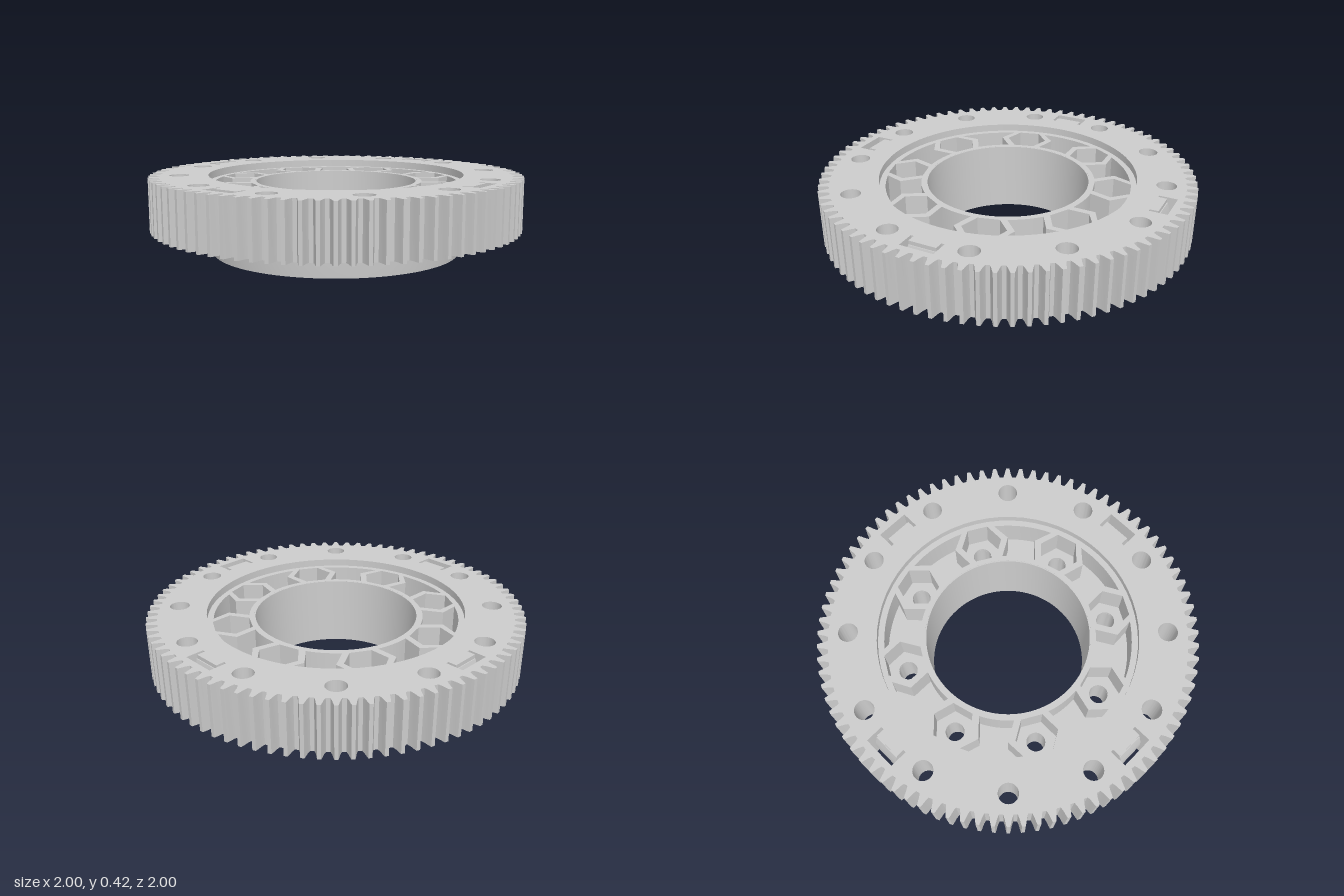
import * as THREE from 'three';
import { toCreasedNormals } from 'three/addons/utils/BufferGeometryUtils.js';

const TEETH = 84, BOLT_R = 0.05, BOLT_CIRCLE = 0.56;
const material = new THREE.MeshStandardMaterial({ color: 0xcccccc });

const polar = (r, a) => new THREE.Vector2(r * Math.cos(a), r * Math.sin(a));

function addMesh(parent, name, geometry, crease = 0.45) {
  const mesh = new THREE.Mesh(toCreasedNormals(geometry, crease), material);
  mesh.name = name;
  parent.add(mesh);
  return mesh;
}

function circlePath(x, y, r) {
  return new THREE.Path().absarc(x, y, r, 0, Math.PI * 2, true);
}

function annulus(outer, inner) {
  const shape = new THREE.Shape().absarc(0, 0, outer, 0, Math.PI * 2, false);
  shape.holes.push(circlePath(0, 0, inner));
  return shape;
}

// Extrude a plan-view shape upwards from y0 to y1
function plate(shape, y0, y1, curveSegments = 32) {
  return new THREE.ExtrudeGeometry(shape, { depth: y1 - y0, bevelEnabled: false, curveSegments })
    .rotateX(-Math.PI / 2).translate(0, y0, 0);
}

// Revolve a closed counter-clockwise [radius, y] profile
function revolve(profile, segments = 96) {
  const points = [...profile, profile[0]].map(([r, y]) => new THREE.Vector2(r, y));
  return new THREE.LatheGeometry(points, segments);
}

// Toothed outline, tooth centred on angle 0
function gearShape() {
  const pitch = (Math.PI * 2) / TEETH;
  const tooth = [[-0.36, 0.942], [-0.25, 0.962], [-0.18, 0.985], [-0.12, 1], [0.12, 1], [0.18, 0.985], [0.25, 0.962], [0.36, 0.942]];
  const points = [];
  for (let i = 0; i < TEETH; i++) {
    for (const [a, r] of tooth) points.push(polar(r, (i + a) * pitch));
  }
  return new THREE.Shape(points);
}

// U-shaped clip slot at angle a
function slotPath(a) {
  const outline = [[0.905, -0.09], [0.905, 0.09], [0.81, 0.09], [0.81, 0.074],
    [0.855, 0.074], [0.855, -0.074], [0.81, -0.074], [0.81, -0.09]];
  return new THREE.Path(outline.map(([u, v]) =>
    new THREE.Vector2(u, v).rotateAround(new THREE.Vector2(), a)));
}

// Hexagonal nut pocket with corners in the tangential direction
function hexPath(a) {
  const c = polar(BOLT_CIRCLE, a), points = [];
  for (let i = 0; i < 6; i++) points.push(polar(0.112, a + Math.PI / 2 + i * Math.PI / 3).add(c));
  return new THREE.Path(points);
}

// Curved pocket between two neighbouring nut pockets
function arcPocketPath(a) {
  const step = Math.PI / 4, points = [];
  const arc = (r, from, to) => {
    for (let i = 0; i <= 8; i++) points.push(polar(r, a + from + (to - from) * i / 8));
  };
  arc(0.655, 0.145, step - 0.145);
  points.push(polar(0.58, a + step - 0.262));
  arc(0.466, step - 0.198, 0.198);
  points.push(polar(0.58, a + 0.262));
  return new THREE.Path(points);
}

export function createModel() {
  const model = new THREE.Group();
  model.name = 'ringGear';
  const slotAngles = [0, 1, 2, 3].map(i => Math.PI * (75 / 180 + i / 2));
  const boltAngles = Array.from({ length: 8 }, (_, i) => i * Math.PI / 4);

  // Toothed ring with mounting holes and clip slots
  const ring = gearShape();
  ring.holes.push(circlePath(0, 0, 0.688));
  for (let i = 0; i < 12; i++) {
    const c = polar(0.84, i * Math.PI / 6);
    ring.holes.push(circlePath(c.x, c.y, 0.052));
  }
  for (const a of slotAngles) ring.holes.push(slotPath(a));
  addMesh(model, 'toothedRing', plate(ring, 0.14, 0.42));

  // Bulged spring clips inside the slots
  const clip = new THREE.Shape([[0.85, 0.141], [0.868, 0.141], [0.878, 0.2], [0.886, 0.28], [0.878, 0.34], [0.86, 0.4], [0.85, 0.4]]
    .map(p => new THREE.Vector2(...p)));
  const clipGeometry = new THREE.ExtrudeGeometry(clip, { depth: 0.148, bevelEnabled: false }).translate(0, 0, -0.074);
  for (const a of slotAngles) addMesh(model, 'springClip', clipGeometry).rotation.y = a;

  // Hub: pocketed upper layer on a thin web
  const pockets = annulus(0.692, 0.44), web = annulus(0.684, 0.44);
  for (const a of boltAngles) {
    const c = polar(BOLT_CIRCLE, a);
    pockets.holes.push(hexPath(a), arcPocketPath(a));
    web.holes.push(circlePath(c.x, c.y, BOLT_R));
  }
  addMesh(model, 'hubPockets', plate(pockets, 0.22, 0.38, 48));
  addMesh(model, 'hubWeb', plate(web, 0.2, 0.22, 48));

  // Tapered hub walls below the web
  addMesh(model, 'hubOuterWall', revolve([[0.655, 0], [0.672, 0], [0.685, 0.15], [0.685, 0.21], [0.65, 0.21]]));
  addMesh(model, 'boreSleeve', revolve([[0.427, 0], [0.447, 0], [0.452, 0.21], [0.452, 0.379], [0.433, 0.38]]));

  // Bolt bosses under the web
  const boss = revolve([[BOLT_R, 0.01], [0.068, 0], [0.08, 0.004], [0.085, 0.205], [BOLT_R, 0.205]], 32);
  for (const a of boltAngles) {
    const c = polar(BOLT_CIRCLE, a);
    addMesh(model, 'boltBoss', boss).position.set(c.x, 0, -c.y);
  }
  return model;
}
